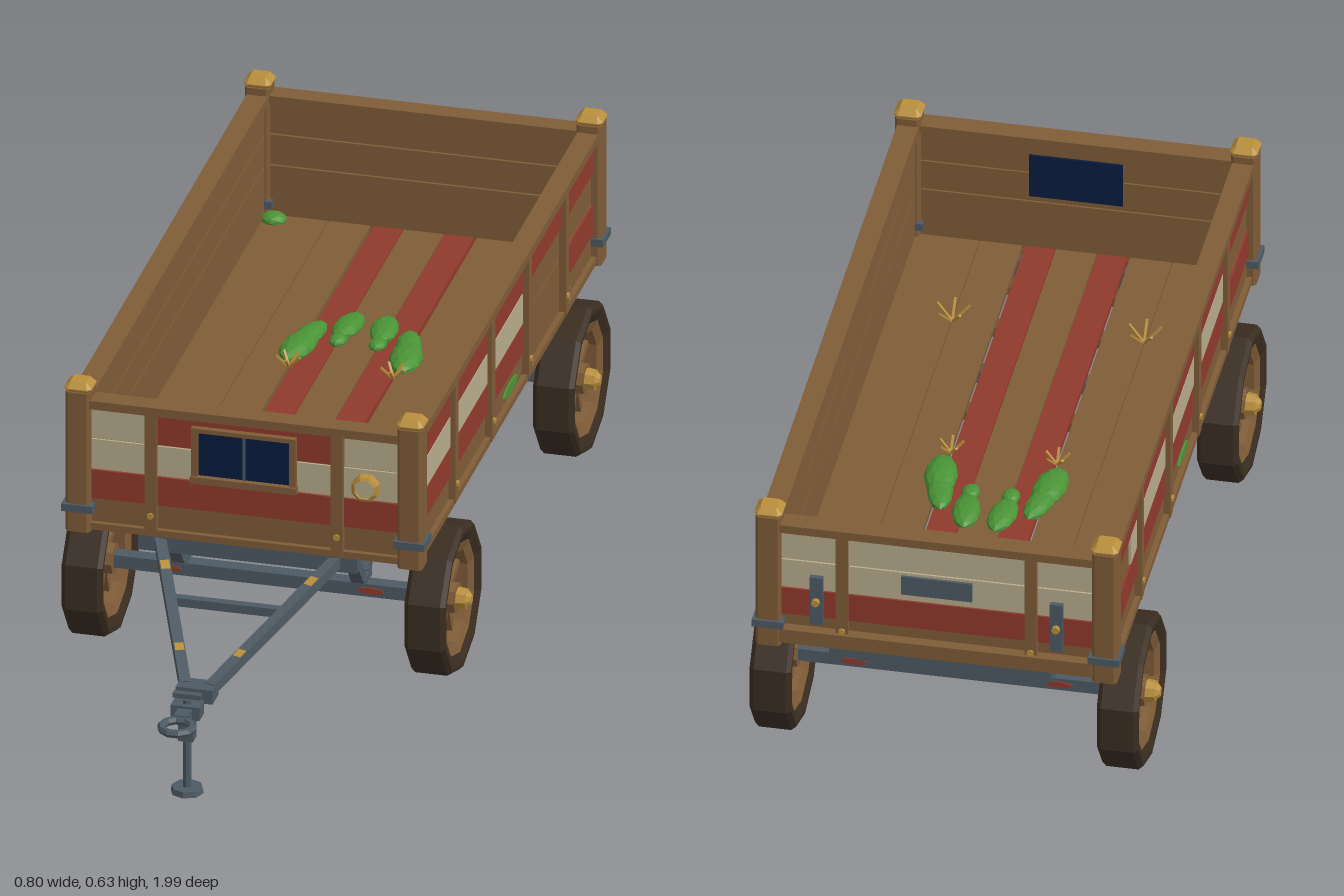
import * as THREE from 'three';

const mat = (name, color) => {
  const m = new THREE.MeshStandardMaterial({ color });
  m.name = name;
  return m;
};

export function createModel() {
  const wood = mat('wood', 0x7f5c37), red = mat('red paint', 0x90392c), cream = mat('cream paint', 0xb8ac8c);
  const steel = mat('steel', 0x4e5a64), rubber = mat('tyre', 0x3a2d21), brass = mat('brass', 0xb88f3c);
  const glass = mat('glass', 0x081c40), green = mat('moss green', 0x4a9336), darkWood = mat('dark wood', 0x745530);
  const root = new THREE.Group();
  root.name = 'wagon';

  // helpers
  const faceted = (g) => {
    const f = g.index ? g.toNonIndexed() : g;
    f.computeVertexNormals();
    return f;
  };
  const add = (parent, name, geo, material, x = 0, y = 0, z = 0) => {
    const m = new THREE.Mesh(geo, material);
    m.name = name;
    m.position.set(x, y, z);
    parent.add(m);
    return m;
  };
  const box = (p, name, material, x, y, z, w, h, d) => add(p, name, new THREE.BoxGeometry(w, h, d), material, x, y, z);
  const cyl = (p, name, material, x, y, z, rt, rb, h, n = 8) =>
    add(p, name, faceted(new THREE.CylinderGeometry(rt, rb, h, n)), material, x, y, z);
  // bar from a to b, oriented in its parent's own frame
  const beam = (p, name, material, a, b, w, h) => {
    const A = new THREE.Vector3(...a), B = new THREE.Vector3(...b);
    const m = new THREE.Mesh(new THREE.BoxGeometry(w, h, A.distanceTo(B)), material);
    m.name = name;
    m.position.copy(A).add(B).multiplyScalar(0.5);
    m.lookAt(B);
    p.add(m);
  };
  const group = (name, parent = root) => {
    const g = new THREE.Group();
    g.name = name;
    parent.add(g);
    return g;
  };
  const patch = (p, name, material, x, y, z, rx, ry) => {
    const m = add(p, name, faceted(new THREE.CylinderGeometry(1, 1, 0.004, 8).rotateX(Math.PI / 2)), material, x, y, z);
    m.scale.set(rx, ry, 1);
    return m;
  };
  // upright prism on a square with cut corners, with an optional sloped top
  const cutPrism = (half, cut, height, bevel) => {
    const k = half - cut, s = new THREE.Shape([[half, -k], [half, k], [k, half], [-k, half],
      [-half, k], [-half, -k], [-k, -half], [k, -half]].map(([x, y]) => new THREE.Vector2(x, y)));
    return new THREE.ExtrudeGeometry(s, { depth: height, bevelEnabled: bevel > 0, bevelSegments: 1,
      bevelSize: bevel, bevelThickness: bevel, bevelOffset: -bevel }).rotateX(-Math.PI / 2);
  };

  // walls: local x runs along the wall, local +z faces outward
  const rows = [[0.335, 0.386], [0.386, 0.447], [0.45, 0.514], [0.517, 0.582]];
  const buildWall = (name, half, battens, paint) => {
    const g = group(name);
    rows.forEach(([a, b]) => {
      box(g, 'plank', wood, 0, (a + b) / 2, 0, half * 2, b - a, 0.022);
    });
    paint.forEach(([r, x0, x1, m]) => {
      const [a, b] = rows[r];
      box(g, 'paintedPlank', m, (x0 + x1) / 2, (a + b) / 2, 0.0125, x1 - x0, b - a, 0.006);
    });
    battens.forEach((x) => {
      box(g, 'batten', wood, x, 0.457, 0.017, 0.024, 0.262, 0.016);
      cyl(g, 'bolt', brass, x, 0.366, 0.026, 0.007, 0.007, 0.006, 6).rotation.x = Math.PI / 2;
    });
    box(g, 'topRail', wood, 0, 0.591, 0.004, half * 2, 0.018, 0.042);
    box(g, 'bottomRail', wood, 0, 0.328, 0.004, half * 2, 0.014, 0.036);
    return g;
  };

  const midZ = -0.272;
  const sideBattens = [-0.427, -0.142, 0.142, 0.427];
  const left = buildWall('leftWall', 0.67, sideBattens, [
    [1, -0.67, 0.142, red], [1, 0.427, 0.67, red], [2, -0.67, 0.12, cream], [3, -0.67, 0.67, red]]);
  left.position.set(0.328, 0, midZ);
  left.rotation.y = Math.PI / 2;
  patch(left, 'mossPatch', green, 0.035, 0.354, 0.013, 0.055, 0.011);
  patch(left, 'mossPatch', green, 0.458, 0.354, 0.013, 0.034, 0.01);
  const right = buildWall('rightWall', 0.67, sideBattens, [
    [1, -0.67, 0.67, red], [2, -0.5, 0.427, cream], [3, -0.67, 0.67, red]]);
  right.position.set(-0.328, 0, midZ);
  right.rotation.y = -Math.PI / 2;
  patch(right, 'mossPatch', green, 0.03, 0.354, 0.013, 0.045, 0.01);

  const front = buildWall('frontWall', 0.31, [-0.187, 0.187], [
    [1, -0.31, 0.31, red], [2, -0.31, 0.31, cream],
    [3, -0.31, -0.2, cream], [3, -0.175, 0.175, red], [3, 0.2, 0.31, cream]]);
  front.position.z = 0.42;
  const back = buildWall('backWall', 0.31, [-0.187, 0.187], [
    [1, -0.31, 0.31, red], [2, -0.31, 0.31, cream], [3, -0.31, 0.31, cream]]);
  back.position.z = -0.96;
  back.rotation.y = Math.PI;

  // front window and its frame
  box(front, 'windowGlass', glass, 0, 0.511, 0.002, 0.186, 0.096, 0.036);
  box(front, 'mullion', steel, 0, 0.511, 0.021, 0.006, 0.096, 0.004);
  for (const s of [-1, 1]) box(front, 'windowSide', wood, s * 0.098, 0.511, 0.016, 0.013, 0.1, 0.022);
  box(front, 'windowHead', wood, 0, 0.563, 0.016, 0.21, 0.009, 0.024);
  box(front, 'windowSill', wood, 0, 0.457, 0.018, 0.214, 0.014, 0.028);

  // round front lamp: brass rim around a pale lens
  const lamp = group('lamp', front);
  lamp.position.set(0.245, 0.48, 0.015);
  lamp.rotation.set(Math.PI / 2, Math.PI / 8, 0);
  add(lamp, 'lampRim', faceted(new THREE.LatheGeometry([
    [0.021, 0], [0.028, 0], [0.028, 0.018], [0.021, 0.022], [0.021, 0]]
    .map(([r, y]) => new THREE.Vector2(r, y)), 8)), brass);
  cyl(lamp, 'lampLens', cream, 0, 0.008, 0, 0.0215, 0.0215, 0.016);

  // tailgate fittings
  box(back, 'tailPlate', steel, 0, 0.487, 0.018, 0.14, 0.042, 0.006);
  box(back, 'tailBeam', wood, 0, 0.345, 0.02, 0.62, 0.03, 0.026);
  for (const s of [-1, 1]) {
    box(back, 'latch', steel, s * 0.238, 0.43, 0.02, 0.026, 0.11, 0.012);
    cyl(back, 'latchKnob', brass, s * 0.238, 0.43, 0.03, 0.008, 0.008, 0.01).rotation.x = Math.PI / 2;
  }

  // corner posts with brass caps and steel straps
  const postGeo = cutPrism(0.025, 0.006, 0.3, 0), capGeo = cutPrism(0.0275, 0.008, 0.002, 0.011);
  for (const x of [-0.333, 0.333]) for (const z of [0.423, -0.963]) {
    const p = group('cornerPost');
    p.position.set(x, 0, z);
    add(p, 'post', postGeo, wood, 0, 0.315, 0);
    add(p, 'postCap', capGeo, brass, 0, 0.622, 0);
    box(p, 'strap', steel, 0, 0.367, 0, 0.062, 0.016, 0.06);
  }

  // floor boards and joists
  const floor = group('floor');
  [[-0.318, -0.192], [-0.19, -0.107], [-0.101, -0.042], [-0.04, 0.04], [0.042, 0.101], [0.107, 0.19], [0.192, 0.318]]
    .forEach(([a, b], i) => {
      box(floor, 'floorBoard', i === 2 || i === 4 ? red : wood, (a + b) / 2, 0.335, midZ, b - a, 0.012, 1.37);
    });
  for (const z of [0.3, 0.155, -0.134, -0.418, -0.69, -0.88])
    box(floor, 'joist', darkWood, 0, 0.319, z, 0.62, 0.02, 0.035);

  // plants and upright straw tufts on the floor
  const plants = group('plants');
  const blob = (x, z, rx, ry, rz, turn) => {
    const m = add(plants, 'leafClump', faceted(new THREE.IcosahedronGeometry(1, 1)), green, x, 0.344, z);
    m.scale.set(rx, ry, rz);
    m.rotation.y = turn;
  };
  const tuft = (x, z, r) => {
    for (let i = 0; i < 5; i++) {
      const a = i * Math.PI * 0.4 + 0.3;
      beam(plants, 'straw', brass, [x, 0.34, z], [x + Math.cos(a) * r, 0.34 + r, z + Math.sin(a) * r], 0.005, 0.004);
    }
  };
  for (const s of [-1, 1]) {
    blob(s * 0.1, -0.445, 0.026, 0.016, 0.066, s * 0.2);
    blob(s * 0.108, -0.395, 0.033, 0.02, 0.066, s * 0.12);
    blob(s * 0.036, -0.505, 0.028, 0.016, 0.057, s * 0.1);
    blob(s * 0.04, -0.44, 0.018, 0.012, 0.025, 0);
    blob(s * 0.295, -0.925, 0.026, 0.015, 0.024, 0);
    tuft(s * 0.19, 0.13, 0.034);
    tuft(s * 0.105, -0.31, 0.025);
  }

  // chassis rails and cross beams
  const chassis = group('chassis');
  for (const s of [-1, 1]) {
    box(chassis, 'rail', steel, s * 0.18, 0.299, -0.27, 0.036, 0.046, 1.34);
    [[0.34, red, 0.03], [0.02, brass, 0.04], [-0.85, red, 0.035]].forEach(([z, m, r]) => {
      patch(chassis, 'wornPatch', m, s * 0.199, 0.301, z, r, 0.012).rotation.y = Math.PI / 2;
    });
  }
  for (const z of [0.4, -0.93]) box(chassis, 'crossBeam', steel, 0, 0.298, z, 0.44, 0.044, 0.03);

  // ten-sided tyre and rim profiles revolved around the axle
  const ring = (pts) => faceted(new THREE.LatheGeometry(pts.map(([r, y]) => new THREE.Vector2(r, y)), 10, Math.PI / 10));
  const tyreGeo = ring([
    [0.112, -0.03], [0.138, -0.041], [0.147, -0.041], [0.155, -0.032], [0.155, 0.032], [0.147, 0.041], [0.138, 0.041],
    [0.112, 0.03], [0.112, -0.03]]);
  const rimGeo = ring([[0.096, -0.026], [0.117, -0.034], [0.117, 0.034], [0.096, 0.026], [0.096, -0.026]]);
  for (const z of [0.228, -0.768]) {
    box(chassis, 'axle', steel, 0, 0.156, z, 0.66, 0.027, 0.03);
    for (const s of [-1, 1]) {
      for (const d of [-1, 1]) {
        beam(chassis, 'axleBracket', steel, [s * 0.18, 0.285, z + d * 0.1], [s * 0.18, 0.18, z + d * 0.018], 0.025, 0.022);
        patch(chassis, 'wornPatch', red, s * 0.203, 0.156, z + d * 0.016, 0.027, 0.007);
      }
      box(chassis, 'axleSeat', steel, s * 0.18, 0.176, z, 0.028, 0.014, 0.06);

      const w = group('wheel');
      w.position.set(s * 0.344, 0.155, z);
      w.rotation.z = -s * Math.PI / 2;
      add(w, 'tyre', tyreGeo, rubber);
      add(w, 'rim', rimGeo, wood);
      for (let i = 0; i < 8; i++) {
        const a = (i + 0.5) * Math.PI / 4;
        beam(w, 'spoke', wood, [0, 0, 0], [Math.cos(a) * 0.104, 0, Math.sin(a) * 0.104], 0.016, 0.022);
      }
      cyl(w, 'hub', wood, 0, 0, 0, 0.032, 0.032, 0.06);
      cyl(w, 'hubCap', brass, 0, 0.037, 0, 0.021, 0.024, 0.024);
      cyl(w, 'hubTip', brass, 0, 0.053, 0, 0.01, 0.019, 0.01);
    }
  }

  // A-shaped drawbar with coupling ring
  const drawbar = group('drawbar');
  for (const s of [-1, 1]) {
    const at = (t) => [s * (0.18 - 0.155 * t), 0.298 - 0.11 * t, 0.4 + 0.4 * t];
    beam(drawbar, 'drawArm', steel, at(0), at(1), 0.022, 0.022);
    beam(drawbar, 'wornBand', brass, at(0.18), at(0.24), 0.018, 0.024);
    beam(drawbar, 'wornBand', brass, at(0.74), at(0.79), 0.018, 0.024);
  }
  box(drawbar, 'drawBrace', steel, 0, 0.249, 0.56, 0.24, 0.018, 0.018);
  box(drawbar, 'coupler', steel, 0, 0.182, 0.805, 0.074, 0.03, 0.045);
  box(drawbar, 'tongue', steel, 0, 0.177, 0.87, 0.028, 0.02, 0.12);
  add(drawbar, 'towRing', faceted(new THREE.TorusGeometry(0.031, 0.0085, 6, 10)), steel, 0, 0.177, 0.96)
    .rotation.x = Math.PI / 2;

  // parking stand
  const stand = group('stand');
  stand.position.z = 0.88;
  cyl(stand, 'standFoot', steel, 0, 0.006, 0, 0.031, 0.033, 0.012);
  cyl(stand, 'standLeg', steel, 0, 0.1, 0, 0.009, 0.009, 0.2);
  box(stand, 'standSleeve', steel, 0, 0.142, 0, 0.03, 0.055, 0.03);
  box(stand, 'standCollar', steel, 0, 0.178, 0, 0.058, 0.028, 0.036);
  box(stand, 'standHandle', steel, 0, 0.208, 0, 0.056, 0.01, 0.014);

  return root;
}
